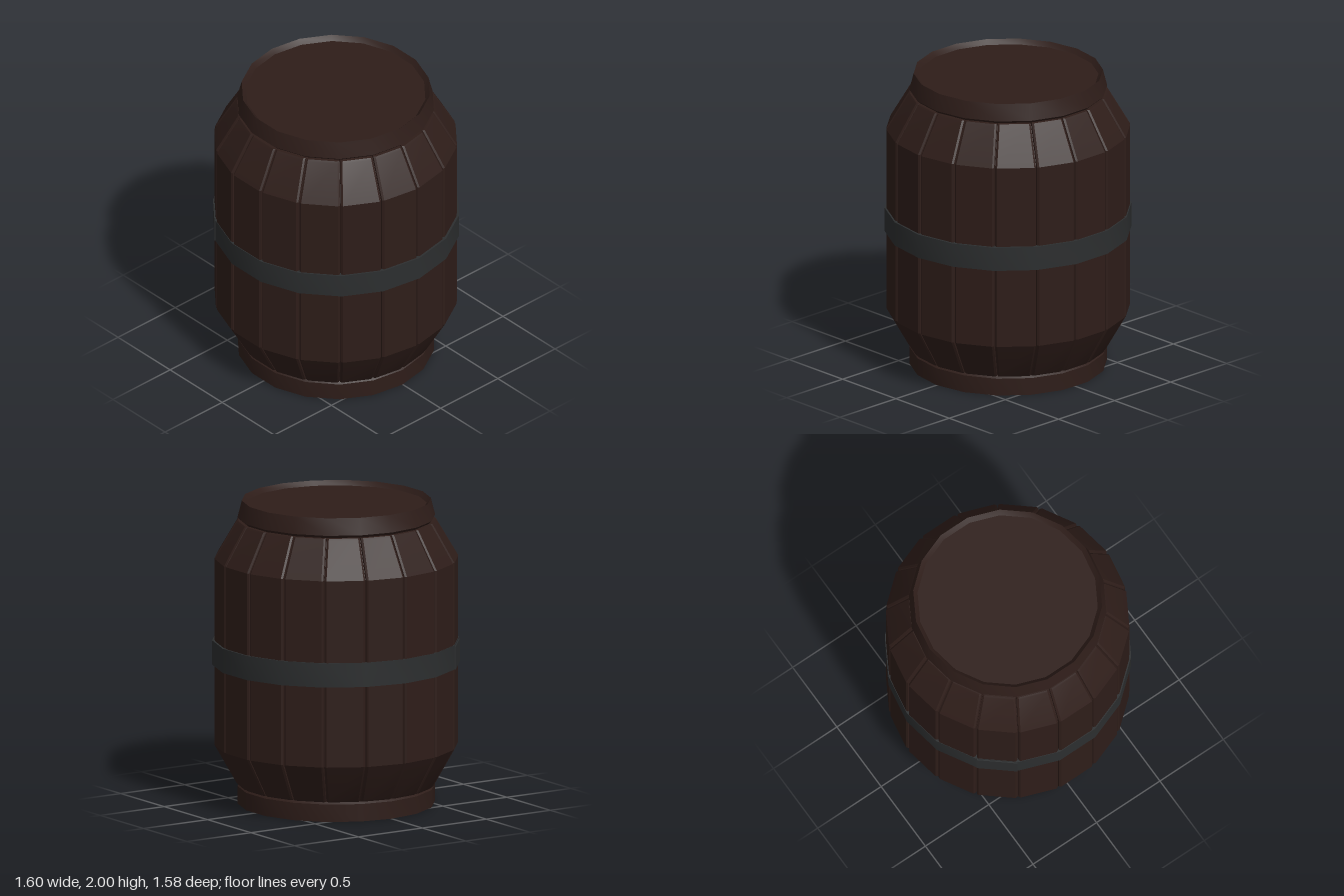
import * as THREE from 'three';
import { toCreasedNormals } from 'three/addons/utils/BufferGeometryUtils.js';

const SIDES = 18;
const STEP = (Math.PI * 2) / SIDES;

// Ring or solid turned from [radius, y] points, with corners on the x axis
function turned(name, points, material) {
  const profile = points.map(([r, y]) => new THREE.Vector2(r, y));
  const geometry = new THREE.LatheGeometry(profile, SIDES, Math.PI / 2);
  const mesh = new THREE.Mesh(toCreasedNormals(geometry, 0.45), material);
  mesh.name = name;
  return mesh;
}

// One bevelled stave facing +z, lofted through [y, distance from axis] rows
function staveGeometry() {
  const rows = [
    [0.13, 0.6], [0.13, 0.632], [0.142, 0.642], [0.39, 0.78],
    [1.62, 0.78], [1.858, 0.642], [1.87, 0.632], [1.87, 0.6],
  ];
  const gap = 0.006, bevel = 0.011;
  const positions = [], index = [];
  rows.forEach(([y, out]) => {
    const w = out * Math.tan(STEP / 2) - gap;
    [[-w, 0.03], [-w, 0.01], [-w + bevel, 0], [w - bevel, 0], [w, 0.01], [w, 0.03]]
      .forEach(([x, depth]) => positions.push(x, y, out - depth));
  });
  const n = 6;
  for (let r = 0; r < rows.length - 1; r++) {
    for (let c = 0; c < n - 1; c++) {
      const a = r * n + c;
      index.push(a, a + 1, a + n + 1, a, a + n + 1, a + n);
    }
  }
  const geometry = new THREE.BufferGeometry();
  geometry.setAttribute('position', new THREE.Float32BufferAttribute(positions, 3));
  geometry.setIndex(index);
  return toCreasedNormals(geometry, 0.3);
}

export function createModel() {
  const barrel = new THREE.Group();
  barrel.name = 'barrel';
  const wood = new THREE.MeshStandardMaterial({ color: 0x2e1d19 });
  const iron = new THREE.MeshStandardMaterial({ color: 0x2c2e2f });

  const body = new THREE.Group();
  body.name = 'woodenBody';
  body.position.set(-0.005, 0, 0.003);
  barrel.add(body);

  // Staves around a core that closes the grooves
  const geometry = staveGeometry();
  for (let i = 0; i < SIDES; i++) {
    const stave = new THREE.Mesh(geometry, wood);
    stave.name = 'stave';
    stave.rotation.y = i * STEP;
    body.add(stave);
  }
  body.add(turned('core', [
    [0.55, 0.12], [0.61, 0.135], [0.625, 0.142], [0.765, 0.39],
    [0.765, 1.62], [0.625, 1.858], [0.61, 1.865], [0.55, 1.88],
  ], wood));

  // Base, and tapered top rim with a slightly sunken lid
  body.add(turned('base', [
    [0, 0], [0.64, 0], [0.64, 0.115], [0.622, 0.13], [0.55, 0.13],
  ], wood));
  body.add(turned('topRimAndLid', [
    [0.55, 1.872], [0.622, 1.872], [0.641, 1.89], [0.613, 2], [0.585, 1.97], [0, 1.97],
  ], wood));

  // Iron hoop, with the overlapping end forming a raised plate
  barrel.add(turned('hoop', [
    [0.76, 0.92], [0.8, 0.92], [0.8, 1.08], [0.76, 1.08], [0.76, 0.92],
  ], iron));
  const overlap = new THREE.Mesh(new THREE.BoxGeometry(0.264, 0.15, 0.02), iron);
  overlap.name = 'hoopOverlap';
  overlap.position.set(0, 0.995, 0.785).applyAxisAngle(new THREE.Vector3(0, 1, 0), -2 * STEP);
  overlap.rotation.y = -2 * STEP;
  barrel.add(overlap);

  return barrel;
}
